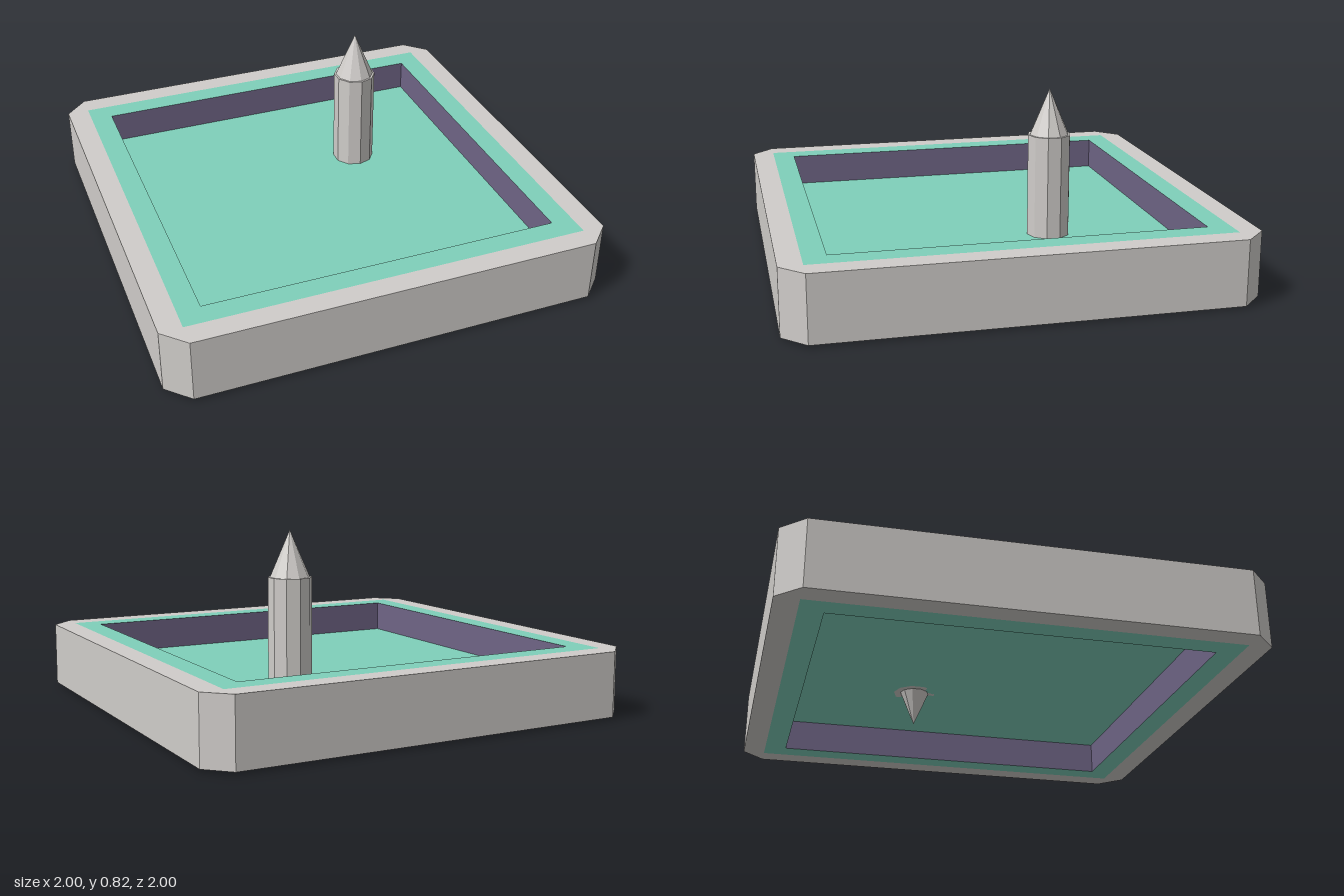
import * as THREE from 'three';

const Y0 = 0.01, Y1 = 0.30, FLOOR = 0.155;

// Corner loops, counter-clockwise from above; chamfer 0 gives a square
function loop(half, chamfer = 0) {
  const a = half, b = half - chamfer;
  const pts = chamfer
    ? [[b, -a], [a, -b], [a, b], [b, a], [-b, a], [-a, b], [-a, -b], [-b, -a]]
    : [[a, -a], [a, a], [-a, a], [-a, -a]];
  return pts.map(([x, y]) => new THREE.Vector2(x, y));
}

// Flat plate with an optional hole, facing up or down
function plate(outer, hole, y, up) {
  const shape = new THREE.Shape(outer);
  if (hole) shape.holes.push(new THREE.Path(hole));
  return new THREE.ShapeGeometry(shape)
    .rotateX(up ? -Math.PI / 2 : Math.PI / 2)
    .translate(0, y, 0);
}

// Upright wall following a loop, facing outwards (or inwards if the loop is reversed)
function wall(points, y0, y1) {
  const pos = [];
  points.forEach((p, i) => {
    const q = points[(i + 1) % points.length];
    const a = [p.x, y0, -p.y], b = [q.x, y0, -q.y], c = [q.x, y1, -q.y], d = [p.x, y1, -p.y];
    pos.push(...a, ...b, ...c, ...a, ...c, ...d);
  });
  const g = new THREE.BufferGeometry();
  g.setAttribute('position', new THREE.Float32BufferAttribute(pos, 3));
  g.computeVertexNormals();
  return g;
}

export function createModel() {
  const group = new THREE.Group();
  const material = (name, color, flatShading = false) =>
    new THREE.MeshStandardMaterial({ name, color, flatShading });
  const stone = material('paleGrey', 0xd0cdca, true);
  const teal = material('teal', 0x7fd0ba);
  const purple = material('duskyPurple', 0x6f6586);
  teal.side = THREE.DoubleSide;

  const add = (name, geometry, mat, parent = group) => {
    const mesh = new THREE.Mesh(geometry, mat);
    mesh.name = name;
    parent.add(mesh);
    return mesh;
  };

  const outer = loop(1, 0.1), band = loop(0.9), inner = loop(0.8);

  // Tray body: chamfered outer wall
  add('outerWall', wall(outer, Y0, Y1), stone);

  // Matching rims and recesses above and below the floor
  for (const [side, y, up] of [['upper', Y1, true], ['lower', Y0, false]]) {
    add(side + 'Rim', plate(outer, band, y, up), stone);
    add(side + 'Band', plate(band, inner, y, up), teal);
    add(side + 'RecessWall',
      wall([...inner].reverse(), Math.min(y, FLOOR), Math.max(y, FLOOR)), purple);
  }
  add('floor', plate(inner, null, FLOOR, true), teal);

  // Ten-sided post with a pointed cap, and a spike emerging under the floor
  const post = new THREE.Group();
  post.name = 'post';
  post.position.set(0.29, 0, -0.25);
  group.add(post);
  const top = 0.615, tip = 0.82;
  add('postShaft', new THREE.CylinderGeometry(0.097, 0.097, top - FLOOR, 10)
    .translate(0, (top + FLOOR) / 2, 0), stone, post);
  add('postCap', new THREE.ConeGeometry(0.088, tip - top, 10, 1, true)
    .translate(0, (tip + top) / 2, 0), stone, post);
  add('lowerSpike', new THREE.ConeGeometry(0.066, FLOOR, 10, 1, true)
    .rotateX(Math.PI).translate(0, FLOOR / 2, 0), stone, post);

  return group;
}
